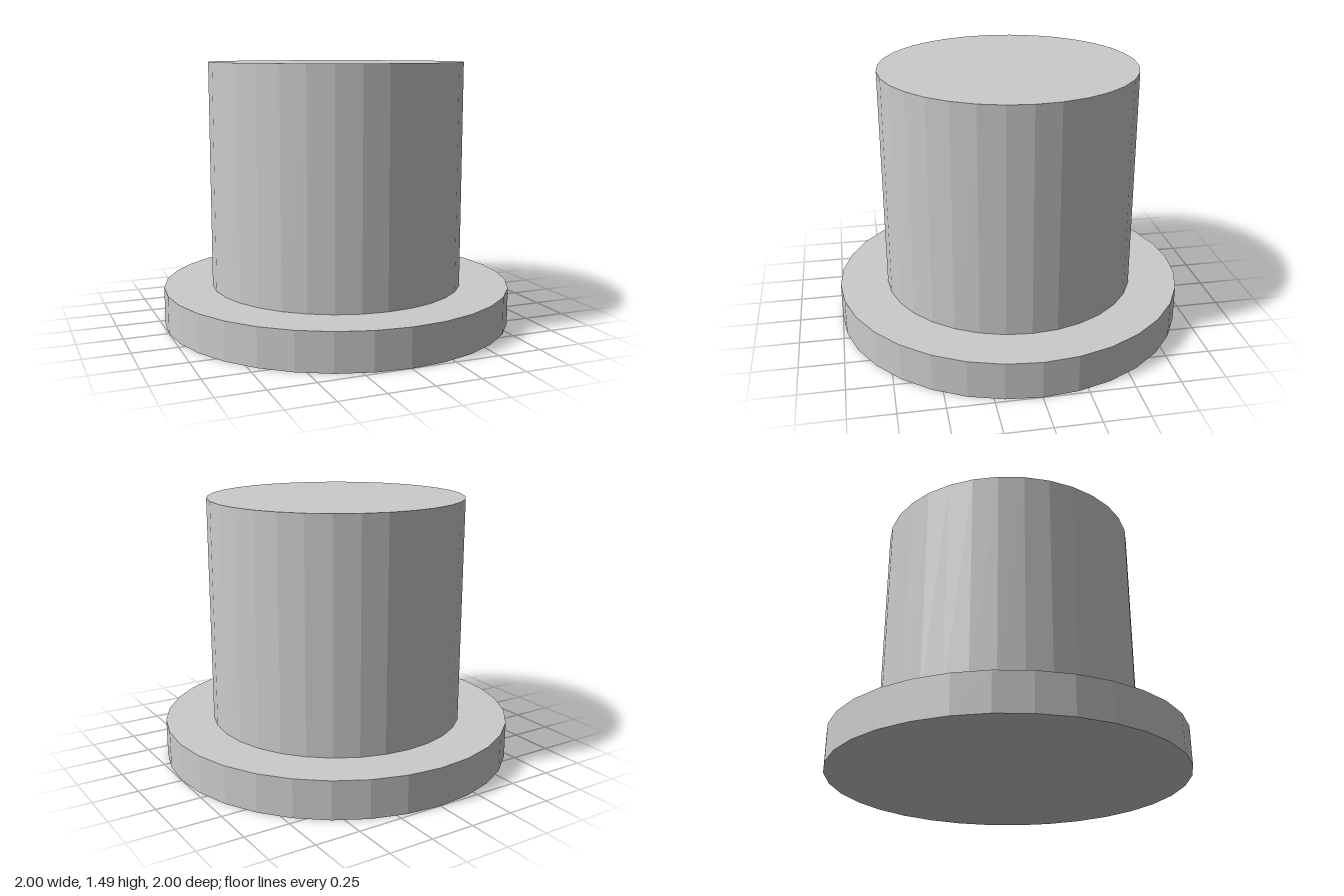
import * as THREE from 'three';

const SIDES = 32;

export function createModel() {
  const group = new THREE.Group();
  group.name = 'flangedPlug';
  const material = new THREE.MeshStandardMaterial({ color: 0xcccccc, flatShading: true });

  // Upright faceted cylinder spanning the heights bottom..top
  function addCylinder(name, radius, bottom, top) {
    const geometry = new THREE.CylinderGeometry(radius, radius, top - bottom, SIDES);
    const mesh = new THREE.Mesh(geometry, material);
    mesh.name = name;
    mesh.position.y = (bottom + top) / 2;
    group.add(mesh);
  }

  // Wide disc at the foot
  addCylinder('baseFlange', 1, 0, 0.213);
  // Narrower solid body standing on the flange
  addCylinder('body', 0.724, 0.213, 1.49);

  return group;
}
